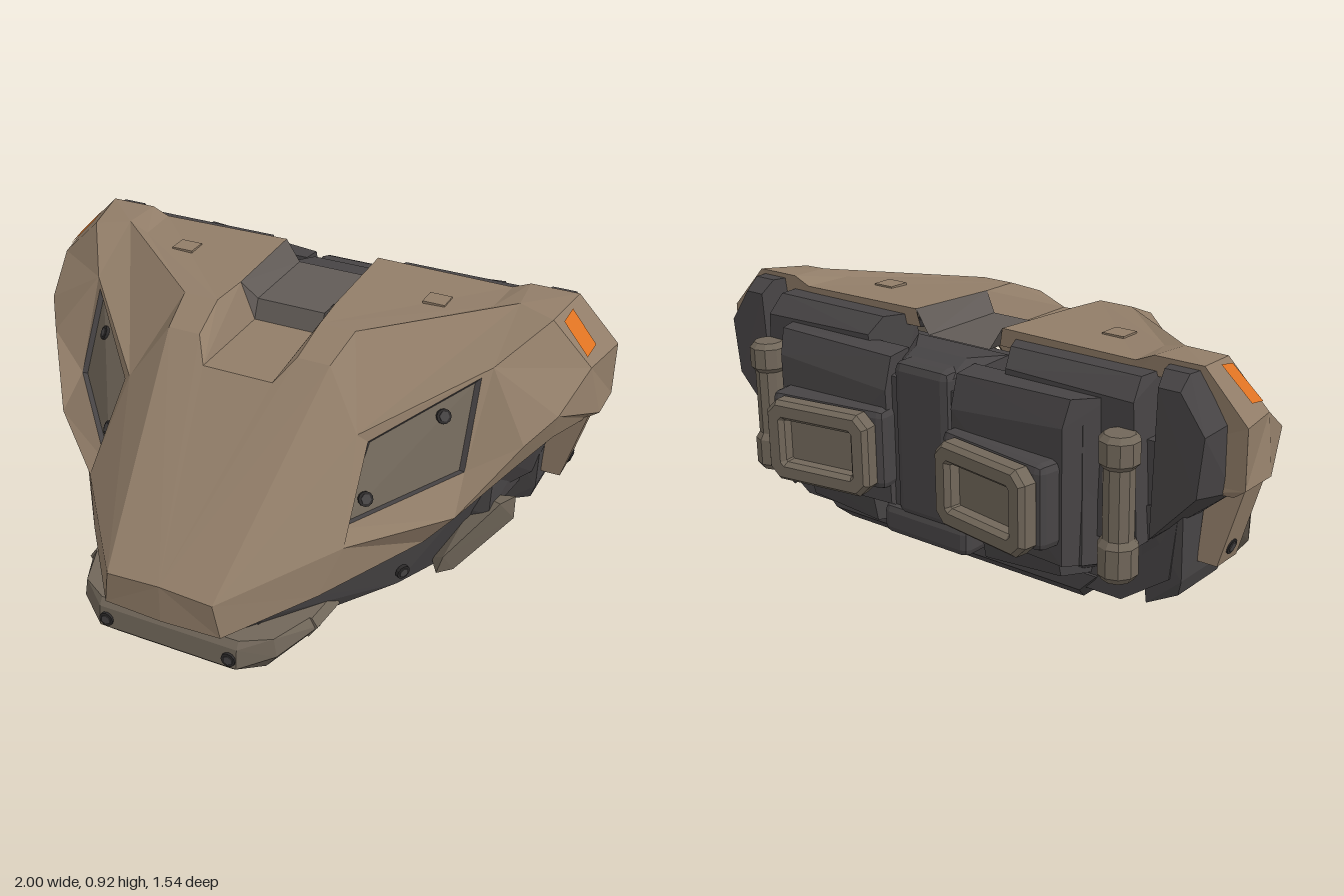
import * as THREE from 'three';
import { ConvexGeometry } from 'three/addons/geometries/ConvexGeometry.js';
import { RoundedBoxGeometry } from 'three/addons/geometries/RoundedBoxGeometry.js';

const paint = (name, color, side = THREE.FrontSide) => {
  const m = new THREE.MeshStandardMaterial({ color, side, flatShading: true });
  m.name = name;
  return m;
};
const V = (p) => new THREE.Vector3(...p);

export function createModel() {
  const model = new THREE.Group();
  model.name = 'armouredHull';
  const tan = paint('tan armour', 0x917d68, THREE.DoubleSide);
  const dark = paint('dark body', 0x474445);
  const bronze = paint('bronze trim', 0x71675a, THREE.DoubleSide);
  const grey = paint('grey liner', 0x615b57, THREE.DoubleSide);
  const black = paint('black fittings', 0x2c2a2a, THREE.DoubleSide);
  const orange = paint('orange marker', 0xde7222, THREE.DoubleSide);

  const add = (name, geo, mat, pos = [0, 0, 0]) => {
    const m = new THREE.Mesh(geo, mat);
    m.name = name;
    m.position.set(...pos);
    model.add(m);
    return m;
  };
  const flip = (p) => [-p[0], p[1], p[2]];
  // Convex solid across the centre line
  const solid = (name, mat, pts) => add(name, new ConvexGeometry([...pts, ...pts.map(flip)].map(V)), mat);
  // Convex solids on both sides
  const pair = (name, mat, pts) => {
    add(name + 'Left', new ConvexGeometry(pts.map(V)), mat);
    add(name + 'Right', new ConvexGeometry(pts.map(flip).map(V)), mat);
  };
  // Mirrored faceted surface; every facet turns away from (or toward) a reference point
  const skin = (name, mat, polys, ref = [0, 0.45, -0.1], sign = 1) => {
    const out = [];
    for (const side of [1, -1]) for (const poly of polys) {
      const q = poly.map((p) => V(side > 0 ? p : flip(p)));
      for (let i = 1; i < q.length - 1; i++) {
        const t = new THREE.Triangle(q[0], q[i], q[i + 1]);
        const n = t.getNormal(new THREE.Vector3());
        const mid = t.getMidpoint(new THREE.Vector3()).sub(V(ref));
        const order = n.dot(mid) * sign < 0 ? [t.a, t.c, t.b] : [t.a, t.b, t.c];
        order.forEach((v) => out.push(v.x, v.y, v.z));
      }
    }
    const g = new THREE.BufferGeometry();
    g.setAttribute('position', new THREE.Float32BufferAttribute(out, 3));
    g.computeVertexNormals();
    return add(name, g, mat);
  };
  const screws = (name, p, n, r = 0.024) => {
    for (const s of [1, -1]) {
      const dir = new THREE.Vector3(n[0] * s, n[1], n[2]).normalize();
      const q = new THREE.Quaternion().setFromUnitVectors(new THREE.Vector3(0, 1, 0), dir);
      const at = [p[0] * s, p[1], p[2]];
      add(name + 'Washer', new THREE.CylinderGeometry(r, r, 0.012, 12), black, at).quaternion.copy(q);
      add(name + 'Head', new THREE.CylinderGeometry(r * 0.7, r * 0.7, 0.018, 6), dark, at).quaternion.copy(q);
    }
  };

  // Key points of the armour shell, left half
  const N0 = [0, 0.30, 0.765], N1 = [0.18, 0.29, 0.765], N2 = [0.2, 0.17, 0.755], N3 = [0, 0.17, 0.765];
  const H1 = [0.28, 0.83, 0.18], H2 = [0.3, 0.885, 0.04];
  const F0 = [0.12, 0.765, 0.25], FC = [0, 0.765, 0.25], FB = [0.12, 0.765, -0.1], FBC = [0, 0.765, -0.1];
  const K = [0.17, 0.83, 0.18], L = [0.18, 0.885, 0.04], M = [0.17, 0.89, -0.1], T = [0.17, 0.905, -0.44];
  const P1 = [0.63, 0.9, -0.28], P2 = [0.64, 0.9, -0.44];
  const A1 = [0.71, 0.92, -0.3], A2 = [0.7, 0.925, -0.44], A3 = [0.83, 0.905, -0.265], A4 = [0.86, 0.925, -0.44];
  const S1 = [0.4, 0.65, 0.24], S2 = [0.71, 0.8, -0.08];
  const Q1 = [0.45, 0.37, 0.43], Q2 = [0.71, 0.41, 0.19], Q3 = [0.85, 0.6, 0], Q4 = [0.92, 0.67, -0.1];
  const W1 = [0.965, 0.77, -0.265], W2 = [1, 0.78, -0.44], V1 = [1, 0.6, -0.3], V2 = [1, 0.6, -0.44];
  const edge = [N2, [0.4, 0.22, 0.5], [0.62, 0.3, 0.2], [0.82, 0.5, -0.02], [0.9, 0.57, -0.14], [0.96, 0.57, -0.3], [0.96, 0.57, -0.43]];
  const [, E1, E2, E3, E4, E5, E6] = edge;
  // Vent opening and its sunken floor
  const hole = [[0.415, 0.405, 0.39], [0.43, 0.625, 0.222], [0.685, 0.775, -0.047], [0.695, 0.51, 0.08]];
  const mid = [0, 1, 2].map((k) => hole.reduce((s, p) => s + p[k] / 4, 0));
  const inward = [-0.009, -0.006, -0.009];
  const floor = hole.map((p) => p.map((v, k) => mid[k] + (v - mid[k]) * 0.93 + inward[k]));
  const [a, b, c, d] = hole;
  skin('armourShell', tan, [
    [N0, N1, H1, K, F0, FC], [N0, N1, N2, N3], [N1, S1, H1], [N1, Q1, S1], [N1, N2, E1, Q1],
    [H1, H2, L, K], [L, H2, P1, P2, T, M], [P1, A1, A2, P2], [H2, A1, P1], [S1, S2, A1, H2, H1], [S2, A3, A1], [A1, A3, A4, A2],
    [S1, S2, c, b], [S2, Q3, d, c], [Q3, Q2, d], [Q2, Q1, a, d], [Q1, S1, b, a],
    [S2, Q3, Q4], [S2, Q4, W1, A3], [A3, A4, W2, W1],
    [Q1, Q2, E2, E1], [Q2, Q3, E3, E2], [Q3, Q4, E4, E3], [Q4, W1, V1, E5, E4], [W1, W2, V2, V1], [E5, V1, V2, E6],
  ]);
  // Folded lower lip and rear rim
  const inner = edge.map((p) => [p[0] - 0.08, p[1] + 0.03, p[2] - 0.02]);
  skin('shellLip', tan, edge.slice(1).map((p, i) => [edge[i], p, inner[i + 1], inner[i]]), [0, 0.9, 0]);
  const rim = [T, P2, A2, A4, W2, V2, E6];
  const rimIn = rim.map((p) => [p[0] * 0.92, 0.55 + (p[1] - 0.55) * 0.84, -0.435]);
  skin('shellRearRim', tan, rim.slice(1).map((p, i) => [rim[i], p, rimIn[i + 1], rimIn[i]]));
  skin('ventRecess', dark, hole.map((p, i) => [p, hole[(i + 1) % 4], floor[(i + 1) % 4], floor[i]]), mid, -1);
  skin('ventPanel', bronze, [floor]);
  const onPanel = (t) => floor[0].map((v, k) => v + (floor[2][k] - v) * t);
  screws('ventLowerScrew', onPanel(0.17), [0.62, 0.44, 0.65]);
  screws('ventUpperScrew', onPanel(0.76), [0.62, 0.44, 0.65]);
  // Small hatch plates on the roof
  for (const s of [1, -1]) add('roofHatch', new THREE.BoxGeometry(0.075, 0.008, 0.07), tan, [0.455 * s, 0.897, -0.25]);

  // Channel in the top: tan at the front, grey liner behind
  const GB = [0.12, 0.83, -0.125], GE = [0.12, 0.83, -0.44], GC = [0, 0.83, -0.125];
  skin('channelFront', tan, [[FC, F0, FB, FBC], [F0, K, L, M, FB]], [0, 1.1, 0], -1);
  skin('channelLiner', grey, [[FBC, FB, GB, GC], [GC, GB, GE, [0, 0.83, -0.44]],
    [FB, M, GB], [M, T, GE, GB]], [0, 1.1, -0.1], -1);

  // Orange markers laid on the corner facet between A3, A4, W2 and W1
  const onCorner = (u, v) => [0, 1, 2].map((k) => {
    const top = A3[k] + (A4[k] - A3[k]) * u, low = W1[k] + (W2[k] - W1[k]) * u;
    return top + (low - top) * v + [0.005, 0.005, 0.002][k];
  });
  skin('cornerMarker', orange, [[onCorner(0.15, 0.13), onCorner(0.55, 0.08), onCorner(0.45, 0.76), onCorner(0.05, 0.82)]]);

  // Side tabs hanging from the shell
  pair('sideTab', tan, [[0.98, 0.62, -0.28], [0.98, 0.62, -0.38], [0.9, 0.335, -0.295], [0.9, 0.335, -0.4],
    [0.85, 0.62, -0.28], [0.85, 0.62, -0.38], [0.835, 0.335, -0.295], [0.835, 0.335, -0.4]]);
  screws('tabScrew', [0.912, 0.385, -0.35], [1, -0.28, 0]);

  // Lower body
  solid('frontBody', dark, [[0.2, 0.06, 0.62], [0.22, 0.19, 0.7], [0.36, 0.2, 0.5], [0.54, 0.11, 0.2], [0.57, 0.29, 0.2],
    [0.64, 0.11, -0.02], [0.77, 0.5, 0], [0.77, 0.35, -0.2], [0.77, 0.58, -0.2], [0.3, 0.6, 0.1], [0.64, 0.13, -0.15]]);
  solid('keelFront', dark, [[0.2, 0.02, 0.6], [0.3, 0.02, 0.17], [0.32, 0.055, 0.12], [0.26, 0.15, 0.62], [0.42, 0.15, 0.12]]);
  solid('keelMiddle', dark, [[0.34, 0.055, 0.15], [0.36, 0.055, -0.05], [0.38, 0.13, -0.12], [0.46, 0.15, 0.15], [0.5, 0.15, -0.12]]);
  solid('keelRear', dark, [[0.48, 0.135, 0], [0.48, 0.135, -0.45], [0.5, 0.18, -0.5], [0.58, 0.22, 0], [0.56, 0.24, -0.5]]);
  solid('rearBody', dark, [[0.66, 0.18, -0.02], [0.64, 0.19, -0.49], [0.76, 0.32, 0], [0.76, 0.52, -0.02],
    [0.8, 0.3, -0.49], [0.83, 0.55, -0.49], [0.78, 0.7, -0.1], [0.83, 0.7, -0.49]]);
  pair('flankBlock', dark, [[0.74, 0.22, -0.25], [0.72, 0.2, -0.48], [0.82, 0.25, -0.26], [0.82, 0.25, -0.47], [0.835, 0.3, -0.25],
    [0.84, 0.48, -0.24], [0.835, 0.3, -0.48], [0.84, 0.55, -0.49], [0.7, 0.5, -0.22], [0.7, 0.5, -0.5]]);
  pair('archBlock', dark, [[0.74, 0.36, -0.06], [0.8, 0.5, -0.04], [0.86, 0.57, -0.15], [0.88, 0.57, -0.3], [0.82, 0.36, -0.24],
    [0.68, 0.56, -0.05], [0.7, 0.36, -0.28]]);
  pair('flankStrut', bronze, [[0.64, 0.13, 0.12], [0.66, 0.2, 0.12], [0.79, 0.36, -0.015], [0.82, 0.36, -0.08], [0.82, 0.275, -0.08],
    [0.68, 0.125, 0.07], [0.6, 0.14, 0.06], [0.7, 0.34, -0.07]]);
  screws('bodyScrew', [0.56, 0.17, 0.21], [0.85, -0.1, 0.5]);

  // Chin guard: a front block with arms running back along the sides
  solid('chinGuard', bronze, [[0.24, 0.145, 0.715], [0.24, 0.12, 0.73], [0.24, 0.05, 0.735], [0.2, 0.003, 0.69], [0.39, 0.145, 0.5],
    [0.41, 0.11, 0.5], [0.38, 0.07, 0.5], [0.31, 0.003, 0.47], [0.33, 0.145, 0.66], [0.34, 0.08, 0.66], [0.29, 0.003, 0.63]]);
  pair('chinArm', bronze, [[0.39, 0.145, 0.52], [0.41, 0.115, 0.52], [0.38, 0.07, 0.52], [0.4, 0.145, 0.37], [0.42, 0.115, 0.38],
    [0.39, 0.07, 0.39], [0.3, 0.145, 0.52], [0.3, 0.07, 0.52], [0.32, 0.145, 0.37], [0.32, 0.07, 0.39]]);
  screws('chinScrew', [0.215, 0.08, 0.734], [0, 0, 1]);

  // Rear machinery
  pair('rearWing', dark, [[0.74, 0.91, -0.4], [0.85, 0.91, -0.4], [0.94, 0.78, -0.4], [0.94, 0.57, -0.4], [0.74, 0.4, -0.4],
    [0.76, 0.91, -0.48], [0.84, 0.91, -0.48], [0.77, 0.87, -0.525], [0.84, 0.87, -0.525], [0.92, 0.76, -0.525], [0.9, 0.58, -0.525], [0.75, 0.42, -0.52]]);
  pair('rearUpperBlock', dark, [[0.2, 0.88, -0.4], [0.71, 0.88, -0.4], [0.25, 0.88, -0.5], [0.7, 0.88, -0.5], [0.27, 0.83, -0.55],
    [0.71, 0.82, -0.55], [0.2, 0.4, -0.4], [0.73, 0.4, -0.4], [0.22, 0.4, -0.55], [0.73, 0.4, -0.55]]);
  solid('rearCore', dark, [[0.62, 0.78, -0.48], [0.62, 0.3, -0.48], [0.58, 0.74, -0.6], [0.58, 0.32, -0.6], [0.5, 0.24, -0.48]]);
  pair('rearStep', dark, [[0.13, 0.81, -0.52], [0.62, 0.81, -0.52], [0.13, 0.8, -0.6], [0.56, 0.82, -0.63], [0.55, 0.74, -0.655],
    [0.13, 0.7, -0.63], [0.13, 0.33, -0.62], [0.55, 0.33, -0.655], [0.6, 0.3, -0.52], [0.13, 0.28, -0.52]]);
  add('rearSpine', new RoundedBoxGeometry(0.22, 0.5, 0.24, 1, 0.03), dark, [0, 0.55, -0.5]);
  solid('spineCap', dark, [[0.18, 0.82, -0.42], [0.1, 0.82, -0.52], [0.1, 0.77, -0.61], [0.2, 0.6, -0.42], [0.1, 0.6, -0.61]]);
  add('rearFoot', new RoundedBoxGeometry(0.34, 0.1, 0.18, 1, 0.025), dark, [0, 0.275, -0.53]);
  pair('rearSill', dark, [[0.2, 0.22, -0.45], [0.55, 0.24, -0.45], [0.22, 0.24, -0.59], [0.5, 0.26, -0.59], [0.22, 0.34, -0.61], [0.5, 0.34, -0.61], [0.55, 0.34, -0.45]]);

  // Exhaust frame outline with its opening
  const chamferRect = (shape, w, h, k) => {
    const pts = [[-w + k, -h], [w - k, -h], [w, -h + k], [w, h - k], [w - k, h], [-w + k, h], [-w, h - k], [-w, -h + k]];
    return shape.setFromPoints(pts.map((p) => new THREE.Vector2(...p)));
  };
  const frame = chamferRect(new THREE.Shape(), 0.175, 0.118, 0.03);
  frame.holes.push(chamferRect(new THREE.Path(), 0.138, 0.082, 0.012));
  const frameGeo = new THREE.ExtrudeGeometry(frame, { depth: 0.04, bevelEnabled: true, bevelThickness: 0.015, bevelSize: 0.013, bevelSegments: 1 });
  frameGeo.translate(0, 0, -0.02);
  // Upright damper turned from one profile: thick ends on a thinner rod
  const damperProfile = [[0, 0.31], [0.045, 0.31], [0.06, 0.33], [0.06, 0.415], [0.047, 0.435], [0.047, 0.645],
    [0.06, 0.66], [0.06, 0.725], [0.045, 0.742], [0, 0.742]].map((p) => new THREE.Vector2(...p));
  const damperGeo = new THREE.LatheGeometry(damperProfile, 10);
  for (const s of [1, -1]) {
    const tilt = (m) => { m.rotation.y = 0.155 * s; };
    tilt(add('exhaustMount', new RoundedBoxGeometry(0.42, 0.26, 0.1, 1, 0.025), dark, [0.33 * s, 0.515, -0.645]));
    tilt(add('exhaustPanel', new THREE.BoxGeometry(0.27, 0.17, 0.008), bronze, [0.32 * s, 0.505, -0.697]));
    tilt(add('exhaustFrame', frameGeo, bronze, [0.325 * s, 0.505, -0.715]));
    add('damper', damperGeo, bronze, [0.69 * s, 0, -0.582]);
  }
  return model;
}
